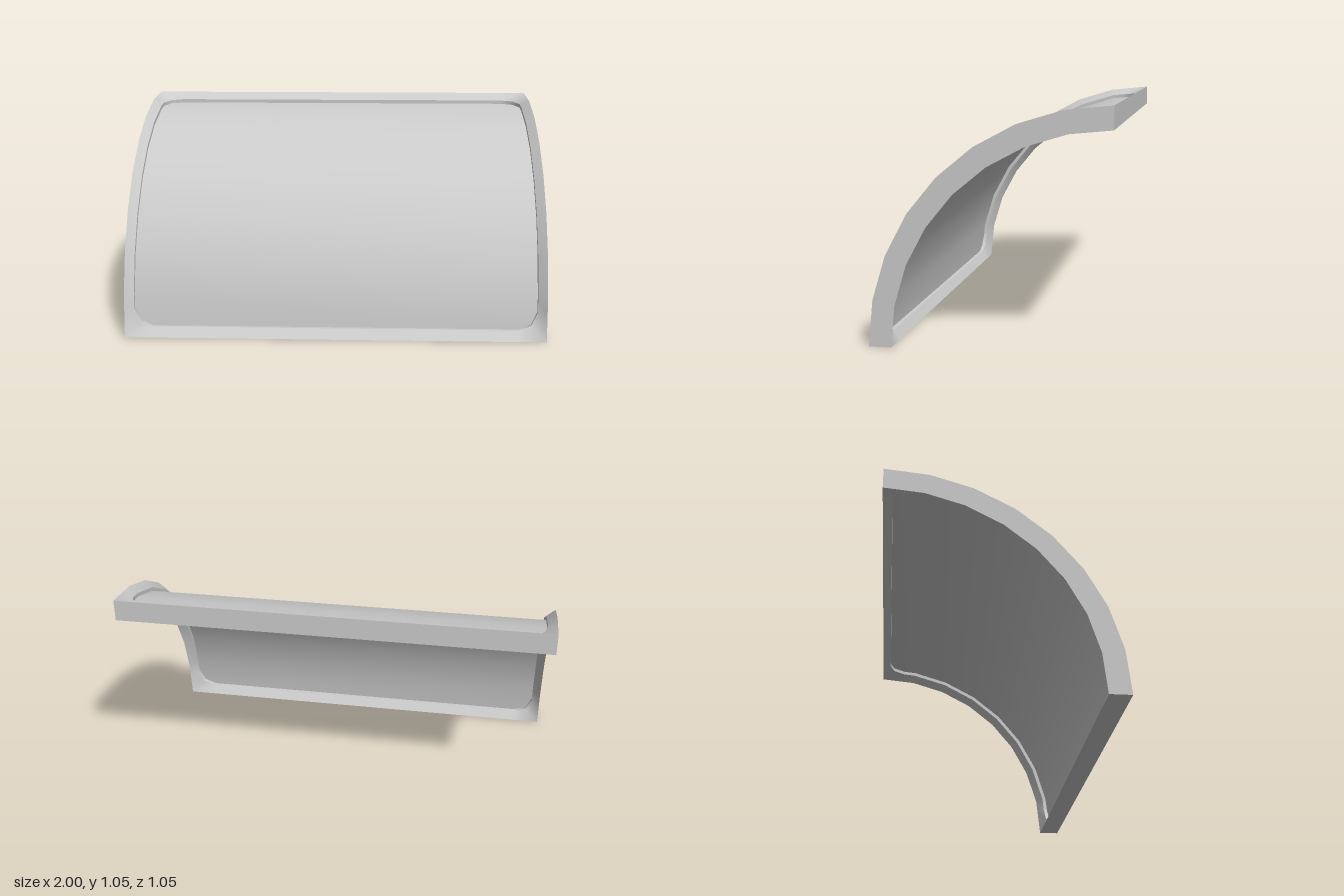
import * as THREE from 'three';

const SEG = 8;            // straight facets along the quarter arc
const R_OUT = 1.05, R_IN = 0.95, R_PANE = 1.0, LIP = 0.018;

// Point on the faceted arc: x across, u = facet position (0 bottom .. SEG top), r = radius
function arcPoint(x, u, r) {
  const i = Math.min(Math.floor(u), SEG - 1), f = u - i;
  const a = (i / SEG) * Math.PI / 2, b = ((i + 1) / SEG) * Math.PI / 2;
  return [
    x,
    r * THREE.MathUtils.lerp(Math.sin(a), Math.sin(b), f),
    r * THREE.MathUtils.lerp(Math.cos(a), Math.cos(b), f) - R_OUT / 2,
  ];
}

// Surface between two rows of points
function strip(rowA, rowB, closed) {
  const n = rowA.length, index = [];
  for (let k = 0; k < (closed ? n : n - 1); k++) {
    const m = (k + 1) % n;
    index.push(k, m, n + m, k, n + m, n + k);
  }
  const g = new THREE.BufferGeometry();
  g.setAttribute('position', new THREE.Float32BufferAttribute([...rowA, ...rowB].flat(), 3));
  g.setIndex(index);
  g.computeVertexNormals();
  return g;
}

// Matching loops: opening with cut corners, and the rim it widens to
function frameLoops() {
  const side = [ // right half, bottom to top: [opening x, opening u, rim x, rim u]
    [0.87, 0.22, 0.87, 0],
    [0.93, 0.34, 1, 0],
    [0.96, 0.66, 1, 0.66],
  ];
  const upper = side.map(([x, u, X, U]) => [x, SEG - u, X, SEG - U]).reverse();
  for (let u = 1; u < SEG; u++) side.push([0.96, u, 1, u]);
  side.push(...upper);
  const left = side.map(([x, u, X, U]) => [-x, u, -X, U]).reverse();
  const all = [...side, ...left];
  return {
    opening: all.map(([x, u]) => [x, u]),
    rim: all.map(([, , x, u]) => [x, u]),
  };
}

export function createModel() {
  const group = new THREE.Group();
  const smooth = new THREE.MeshStandardMaterial({ color: 0xcccccc, side: THREE.DoubleSide });
  const flat = new THREE.MeshStandardMaterial({ color: 0xcccccc, side: THREE.DoubleSide, flatShading: true });
  const add = (parent, name, geometry, material) => {
    const mesh = new THREE.Mesh(geometry, material);
    mesh.name = name;
    parent.add(mesh);
  };

  // Frame: bevel, opening wall, inner bevel and flat outer edges
  const frame = new THREE.Group();
  frame.name = 'frame';
  group.add(frame);
  const { opening, rim } = frameLoops();
  const at = (loop, r) => loop.map(([x, u]) => arcPoint(x, u, r));
  const rimOut = at(rim, R_OUT), rimIn = at(rim, R_IN);
  const lipOut = at(opening, R_PANE + LIP), lipIn = at(opening, R_PANE - LIP);
  add(frame, 'outerBevel', strip(rimOut, lipOut, true), smooth);
  add(frame, 'openingWall', strip(lipOut, lipIn, true), smooth);
  add(frame, 'innerBevel', strip(lipIn, rimIn, true), smooth);
  add(frame, 'outerEdge', strip(rimIn, rimOut, true).toNonIndexed(), flat);

  // Curved pane, its margins tucked into the frame
  const us = [0.18, 1, 2, 3, 4, 5, 6, 7, SEG - 0.18];
  const row = (x) => us.map((u) => arcPoint(x, u, R_PANE));
  add(group, 'pane', strip(row(0.97), row(-0.97), false), smooth);

  return group;
}
